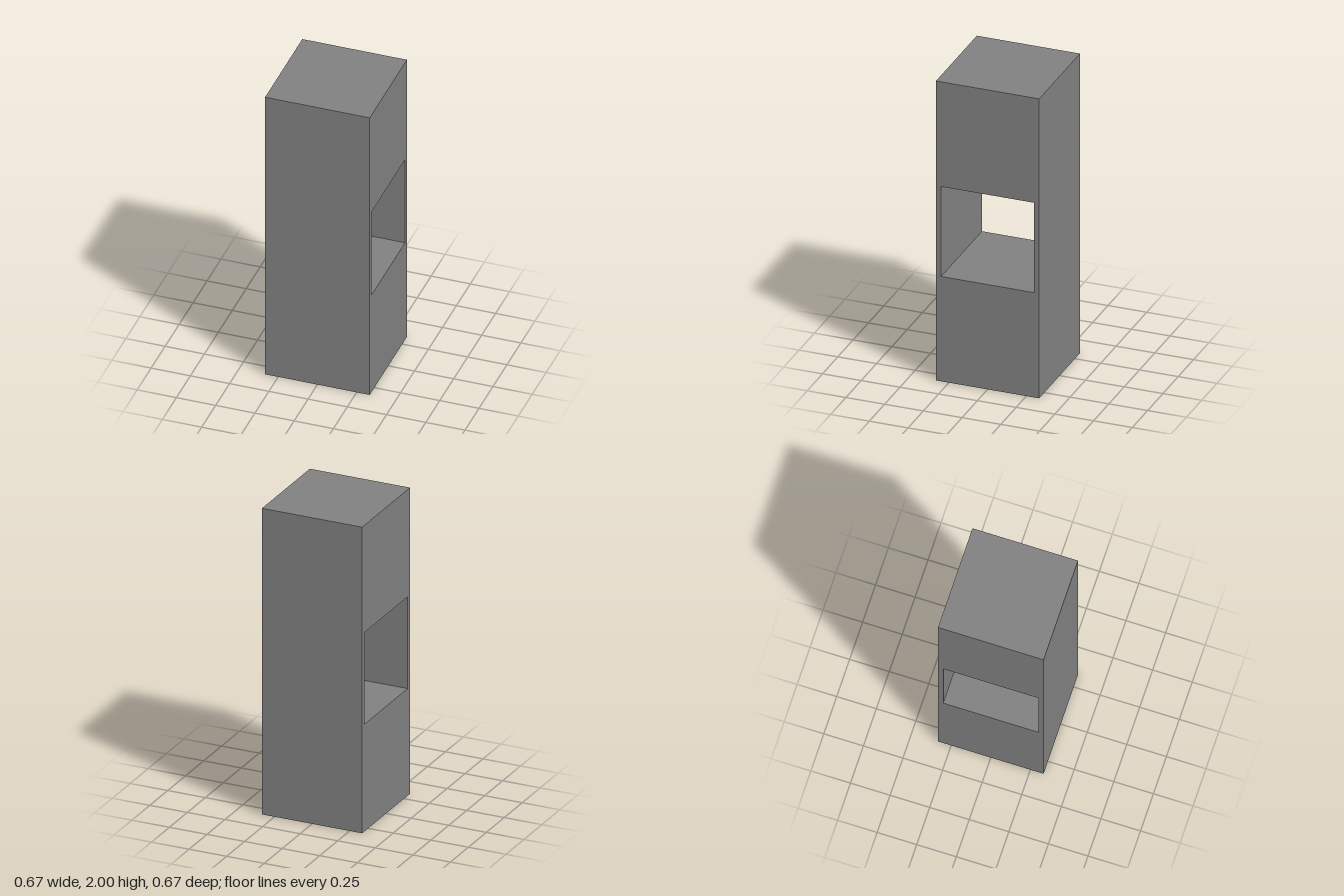
import * as THREE from 'three';

const HEIGHT = 2;
const WIDTH = HEIGHT / 3;
const OPENING = 0.6;

// Closed rectangle centred on x = 0, running from y0 to y1
function rectangle(path, width, y0, y1) {
  const h = width / 2;
  path.moveTo(-h, y0);
  path.lineTo(h, y0);
  path.lineTo(h, y1);
  path.lineTo(-h, y1);
  path.closePath();
  return path;
}

export function createModel() {
  const group = new THREE.Group();
  group.name = 'piercedPillar';

  // Side profile of the pillar with a square window through its middle
  const profile = rectangle(new THREE.Shape(), WIDTH, 0, HEIGHT);
  profile.holes.push(
    rectangle(new THREE.Path(), OPENING, (HEIGHT - OPENING) / 2, (HEIGHT + OPENING) / 2)
  );

  // Extrude through the thickness, then turn so the window runs along x
  const geometry = new THREE.ExtrudeGeometry(profile, { depth: WIDTH, bevelEnabled: false });
  geometry.translate(0, 0, -WIDTH / 2);
  geometry.rotateY(Math.PI / 2);

  const material = new THREE.MeshStandardMaterial({ color: 0x808080, flatShading: true });
  const pillar = new THREE.Mesh(geometry, material);
  pillar.name = 'pillar';
  group.add(pillar);

  return group;
}
